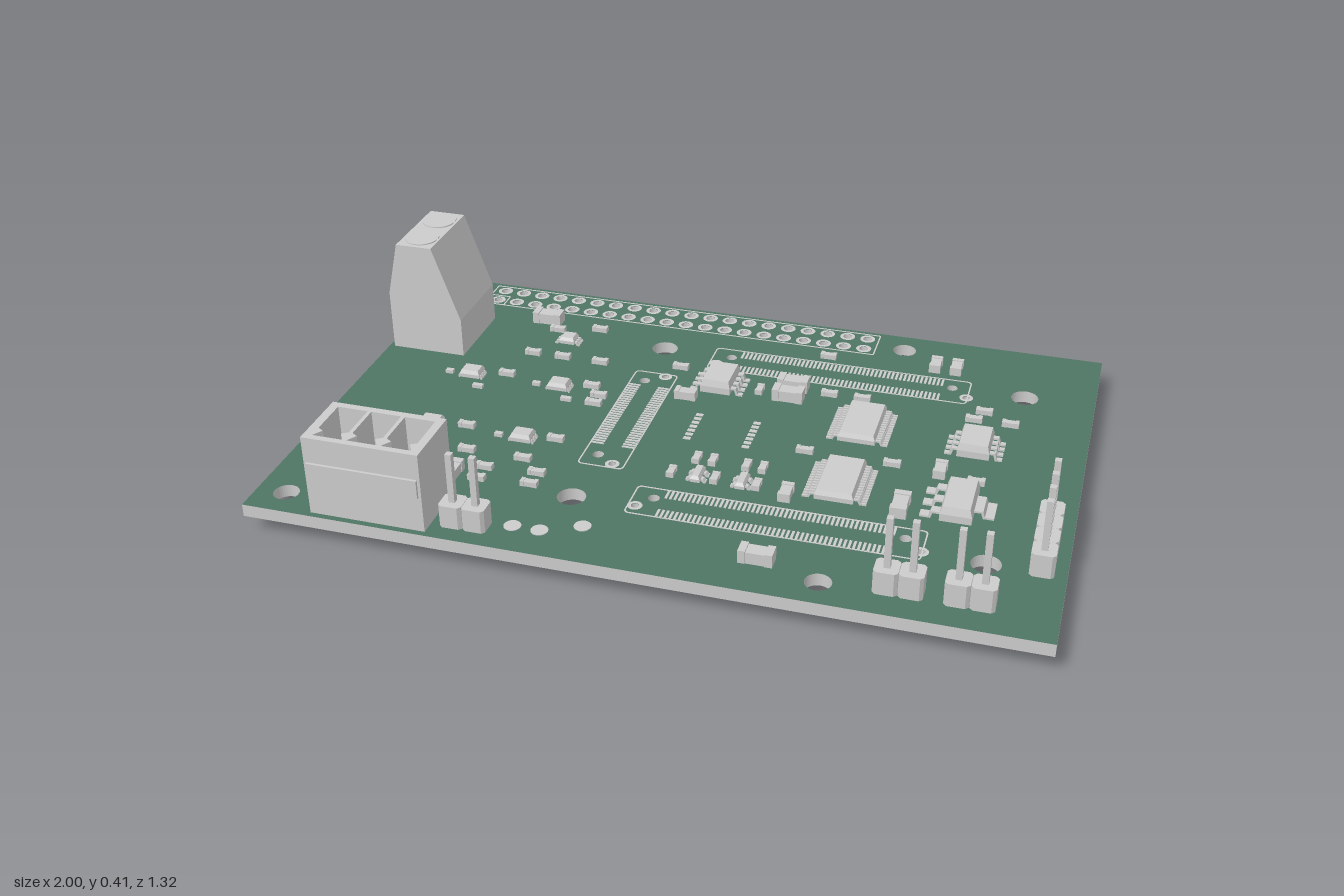
import * as THREE from 'three';
import { mergeGeometries } from 'three/addons/utils/BufferGeometryUtils.js';

const grey = new THREE.MeshStandardMaterial({ color: 0xcccccc });
const green = new THREE.MeshStandardMaterial({ color: 0x4f7563 });
const TOP = 0.082, BOTTOM = 0.048;
const PITCH = 0.0597;

const range = (n, f) => Array.from({ length: n }, (_, i) => f(i));
const box = (w, h, d, x = 0, y = 0, z = 0) => new THREE.BoxGeometry(w, h, d).translate(x, y, z);
function add(parent, name, geos, x = 0, y = 0, z = 0) {
  const list = [].concat(geos).map(g => (g.index ? g.toNonIndexed() : g));
  const m = new THREE.Mesh(mergeGeometries(list), grey);
  m.name = name;
  m.position.set(x, y, z);
  parent.add(m);
  return m;
}
function polygon(points) {
  return new THREE.Shape(points.map(p => new THREE.Vector2(...p)));
}
const extrude = (shape, depth, curveSegments = 20) =>
  new THREE.ExtrudeGeometry(shape, { depth, bevelEnabled: false, curveSegments });
// plan shape drawn in (x, z), raised from y0 by h
const plan = (shape, h, y0) => extrude(shape, h).rotateX(Math.PI / 2).translate(0, y0 + h, 0);

// box whose upper face is drawn in, as on a moulded chip
function taperBox(w, h, d, inset) {
  const g = new THREE.BoxGeometry(w, h, d, 1, 2, 1).toNonIndexed(), p = g.attributes.position;
  for (let i = 0; i < p.count; i++) if (p.getY(i) > h * 0.4) {
    p.setX(i, p.getX(i) - Math.sign(p.getX(i)) * inset);
    p.setZ(i, p.getZ(i) - Math.sign(p.getZ(i)) * inset);
  }
  g.computeVertexNormals();
  return g.translate(0, h / 2, 0);
}

// gull-wing lead pointing to +x, starting at x0
function lead(x0, reach, h, width) {
  const t = 0.005, k = x0 + reach * 0.45, e = x0 + reach;
  return extrude(polygon([[x0 - 0.004, h - t], [k - t, h - t], [k, 0], [e, 0], [e, t],
    [k + t, t], [k, h], [x0 - 0.004, h]]), width).translate(0, 0, -width / 2);
}

// chip with n leads on each long side, optionally on all four sides
function chip(parent, name, x, z, w, d, h, n, reach, four = false) {
  const g = new THREE.Group();
  g.name = name;
  g.position.set(x, 0, z);
  add(g, 'chipBody', taperBox(w, h - 0.005, d, 0.005), 0, 0.005, 0);
  const leads = [];
  const step = d * 0.93 / n;
  for (const turn of four ? [0, 1, 2, 3] : [0, 2]) for (let i = 0; i < n; i++) {
    const s = (turn % 2 ? w / d : 1) * step;
    leads.push(lead((turn % 2 ? d : w) / 2, reach, h * 0.5, s * 0.5)
      .translate(0, 0, (i - (n - 1) / 2) * s).rotateY(turn * Math.PI / 2));
  }
  if (n) add(g, 'chipLeads', leads);
  parent.add(g);
}

// two-terminal parts, lying along x or turned along z
function passives(parent, name, spots, l, w, h, turned = false) {
  for (const [x, z] of spots) {
    const m = add(parent, name, [box(l * 0.56, h * 0.9, w * 0.9, 0, h * 0.45, 0),
      ...[-1, 1].map(s => box(l * 0.22, h, w, s * l * 0.39, h / 2, 0))], x, 0, z);
    if (turned) m.rotation.y = Math.PI / 2;
  }
}

function pinHeader(parent, x, z, n, alongZ = false) {
  const g = new THREE.Group();
  g.name = 'pinHeader';
  const c = 0.008, a = PITCH / 2 - 0.0005;
  const block = polygon([[-a, -a + c], [-a + c, -a], [a - c, -a], [a, -a + c],
    [a, a - c], [a - c, a], [-a + c, a], [-a, a - c]]);
  for (let i = 0; i < n; i++) {
    const o = (i - (n - 1) / 2) * PITCH;
    add(g, 'headerBlock', plan(block, 0.062, 0), o, 0, 0);
    add(g, 'headerPin', box(0.016, 0.268, 0.016, 0, 0.064, 0), o, 0, 0);
  }
  g.position.set(x, 0, z);
  if (alongZ) g.rotation.y = Math.PI / 2;
  parent.add(g);
}

function rectPath(P, w, d, r) {
  const s = new P(), x = w / 2, z = d / 2;
  s.moveTo(-x + r, -z).lineTo(x - r, -z).quadraticCurveTo(x, -z, x, -z + r).lineTo(x, z - r)
    .quadraticCurveTo(x, z, x - r, z).lineTo(-x + r, z).quadraticCurveTo(-x, z, -x, z - r)
    .lineTo(-x, -z + r).quadraticCurveTo(-x, -z, -x + r, -z);
  return s;
}
function outline(parent, x, z, w, d, r = 0.015) {
  const s = rectPath(THREE.Shape, w, d, r);
  s.holes.push(rectPath(THREE.Path, w - 0.008, d - 0.008, r - 0.003));
  add(parent, 'printedOutline', plan(s, 0.001, 0), x, 0, z);
}

export function createModel() {
  const model = new THREE.Group();
  model.name = 'circuitBoard';
  const top = new THREE.Group(), under = new THREE.Group();
  top.name = 'topParts';
  top.position.y = TOP;
  under.name = 'undersideParts';
  under.position.y = BOTTOM;
  under.scale.z = 1;
  model.add(top, under);

  // board with all drilled holes: [x, z, radius]
  const headerHoles = range(40, i => [-0.805 + (i % 20) * PITCH, i < 20 ? -0.615 : -0.555, 0.013]);
  const guideHoles = [[-0.025, -0.4], [0.61, -0.4], [-0.225, -0.205], [-0.225, 0.195], [-0.025, 0.35], [0.61, 0.35]];
  const smallHoles = [[-0.06, -0.355], [0.655, -0.355], [-0.175, -0.24], [-0.175, 0.23], [-0.06, 0.395], [0.655, 0.395]];
  const holes = [...headerHoles, ...guideHoles.map(p => [...p, 0.015]), ...smallHoles.map(p => [...p, 0.01])];
  for (const z of [-1, 1]) {
    for (const x of [-0.92, 0.445]) holes.push([x, z * 0.578, 0.033]);
    for (const x of [-0.225, 0.81]) holes.push([x, z * 0.4, 0.037]);
  }
  const boardShape = polygon([[-1, -0.658], [1, -0.658], [1, 0.658], [-1, 0.658]]);
  for (const [x, z, r] of holes) boardShape.holes.push(new THREE.Path().absarc(x, z, r, 0, Math.PI * 2, true));
  const board = new THREE.Mesh(plan(boardShape, TOP - BOTTOM, BOTTOM), [green, grey]);
  board.name = 'board';
  model.add(board);

  // plated rings on both faces
  const ring = (x, z, r, up) => new THREE.RingGeometry(r, r + 0.009, 20)
    .rotateX(up ? -Math.PI / 2 : Math.PI / 2).translate(x, up ? 0.001 : -0.001, z);
  const ringed = [...headerHoles, ...smallHoles.map(p => [...p, 0.01])];
  add(top, 'platedRings', ringed.map(([x, z, r]) => ring(x, z, r, true)));
  add(under, 'platedRingsUnder', ringed.map(([x, z, r]) => ring(x, z, r, false)));

  // flat contact rows and printed outlines
  const rows = [];
  for (const z of [-0.42, -0.34, 0.327, 0.413])
    for (let i = 0; i < 50; i++) rows.push(box(0.0065, 0.002, 0.035, 0.004 + i * 0.01175, 0.001, z));
  for (const x of [-0.245, -0.16])
    for (let i = 0; i < 28; i++) rows.push(box(0.035, 0.002, 0.0065, x, 0.001, -0.175 + i * 0.01175));
  for (const x of [-0.025, 0.135])
    for (let i = 0; i < 7; i++) rows.push(box(0.02, 0.002, 0.012, x, 0.001, -0.067 + i * 0.0205));
  add(top, 'contactPads', rows);
  add(top, 'testPads', [[-0.32, 0.56], [-0.25, 0.56], [-0.155, 0.515]].map(([x, z]) =>
    new THREE.CylinderGeometry(0.022, 0.022, 0.002, 24).translate(x, 0.001, z)));
  outline(top, 0.29, -0.383, 0.74, 0.125);
  outline(top, 0.29, 0.368, 0.74, 0.125);
  outline(top, -0.203, -0.003, 0.125, 0.505);
  outline(top, -0.238, -0.585, 1.205, 0.12, 0.005);
  outline(top, -0.805, -0.555, PITCH, PITCH, 0.005);

  // chips
  for (const z of [-0.125, 0.16]) chip(top, 'largeChip', 0.41, z, 0.1, 0.18, 0.03, 14, 0.032);
  chip(top, 'eightPinChip', -0.015, -0.24, 0.084, 0.116, 0.043, 4, 0.033);
  chip(top, 'eightPinChip', 0.715, -0.1, 0.084, 0.112, 0.043, 4, 0.033);
  chip(top, 'controllerChip', -0.675, 0.37, 0.106, 0.112, 0.03, 8, 0.014, true);
  chip(top, 'smallChip', -0.505, -0.36, 0.045, 0.045, 0.024, 3, 0.015);
  for (const x of [-0.7, -0.44]) for (const z of [-0.1, 0.18]) {
    chip(top, 'sensorChip', x, z, 0.058, 0.046, 0.026, 3, 0.006);
    add(top, 'sensorResistor', box(0.022, 0.01, 0.014, x - 0.068, 0.005, z));
    if (z < 0) add(top, 'sensorCapacitor', box(0.03, 0.01, 0.014, x + 0.04, 0.005, z + 0.057));
  }
  for (const x of [0.055, 0.172]) chip(top, 'transistor', x, 0.23, 0.026, 0.062, 0.022, 2, 0.014);

  // voltage regulator with three leads and a tab
  add(top, 'regulatorBody', taperBox(0.08, 0.04, 0.15, 0.006), 0.715, 0.003, 0.182);
  add(top, 'regulatorLeads', [-0.052, 0, 0.052].map(z =>
    lead(0.04, 0.05, 0.02, 0.026).rotateY(Math.PI).translate(0.715, 0, 0.182 + z)));
  add(top, 'regulatorTab', lead(0.04, 0.05, 0.02, 0.07), 0.715, 0, 0.182);

  // resistors and capacitors, by size and direction
  passives(top, 'largeCapacitor', [[-0.607, -0.465], [0.185, -0.278], [0.185, -0.217], [0.287, 0.535]], 0.085, 0.042, 0.035);
  passives(top, 'largeCapacitor', [[0.575, 0.23], [-0.553, 0.395]], 0.085, 0.042, 0.03, true);
  passives(top, 'mediumCapacitor', [[-0.863, 0.262], [-0.89, 0.44], [-0.088, -0.148]], 0.06, 0.032, 0.026);
  passives(top, 'mediumCapacitor', [[0.548, -0.5], [0.607, -0.5], [0.29, 0.25], [0.645, 0.04]], 0.06, 0.032, 0.024, true);
  passives(top, 'smallResistor', [
    [-0.56, -0.417], [-0.44, -0.45], [-0.58, -0.265], [-0.49, -0.265], [-0.377, -0.265], [-0.147, -0.3],
    [0.243, -0.475], [-0.607, -0.13], [-0.355, -0.13], [-0.32, -0.086], [-0.32, -0.043], [0.29, -0.267],
    [0.382, -0.267], [0.29, 0.037], [0.52, 0.037], [0.714, -0.287], [0.692, -0.24], [0.79, -0.24],
    [0.74, 0.064], [-0.863, 0.325], [-0.863, 0.38], [-0.768, 0.272], [-0.677, 0.272], [-0.56, 0.272],
    [-0.404, 0.272], [-0.607, 0.16], [-0.355, 0.16], [-0.345, 0.327], [-0.345, 0.38], [-0.484, 0.337],
    [-0.484, 0.39], [-0.438, 0.51], [-0.768, 0.243]], 0.045, 0.02, 0.015);
  passives(top, 'smallResistor', [[0.1, -0.235], [0.03, 0.15], [0.073, 0.15], [0.163, 0.15], [0.206, 0.15],
    [-0.015, 0.23], [0.1, 0.23], [0.21, 0.23]], 0.04, 0.02, 0.015, true);

  // pin headers
  pinHeader(top, -0.432, 0.583, 2);
  pinHeader(top, 0.63, 0.557, 2);
  pinHeader(top, 0.795, 0.557, 2);
  pinHeader(top, 0.94, 0.3, 4, true);

  // screw terminal: full-profile dividers alternate with notched wire bays
  const terminal = new THREE.Group();
  terminal.name = 'screwTerminal';
  const upper = [[-0.77, TOP], [-0.77, 0.195], [-0.845, 0.41], [-0.95, 0.41], [-0.985, 0.255]];
  const full = polygon([...upper, [-0.985, TOP]]);
  const notched = polygon([...upper, [-0.985, 0.205], [-0.88, 0.205], [-0.88, 0.1], [-0.985, 0.1], [-0.985, TOP]]);
  const cuts = [-0.44, -0.42, -0.335, -0.305, -0.22, -0.2];
  add(terminal, 'terminalBody', range(5, i =>
    extrude(i % 2 ? notched : full, cuts[i + 1] - cuts[i]).translate(0, 0, cuts[i])));
  add(terminal, 'sideRib', box(0.03, 0.17, 0.016, -0.985, 0.167, -0.447));
  for (const z of [-0.383, -0.263]) {
    add(terminal, 'screwHead', [0, 1].map(k =>
      new THREE.CylinderGeometry(0.046, 0.046, 0.004, 20, 1, false, k * Math.PI - Math.PI / 2, Math.PI)
        .translate(0, 0, k ? -0.005 : 0.005)), -0.897, 0.411, z);
    add(terminal, 'terminalPin', box(0.024, 0.1, 0.036, -0.89, 0.05, z));
  }
  model.add(terminal);

  // plug socket with three keyed cavities
  const socket = new THREE.Group();
  socket.name = 'plugSocket';
  const shell = polygon([[-0.82, 0.468], [-0.515, 0.468], [-0.515, 0.642], [-0.82, 0.642]]);
  const slots = [-0.757, -0.667, -0.577];
  for (const x of slots) shell.holes.push(new THREE.Path([[-0.04, 0.487], [0.04, 0.487], [0.04, 0.59],
    [0.024, 0.6], [0.04, 0.625], [-0.04, 0.625], [-0.024, 0.6], [-0.04, 0.59]].map(([a, b]) => new THREE.Vector2(x + a, b))));
  add(socket, 'socketShell', plan(shell, 0.18, 0.12));
  add(socket, 'socketBase', box(0.305, 0.042, 0.174, -0.6675, 0.101, 0.555));
  add(socket, 'socketLatch', box(0.29, 0.05, 0.008, -0.6675, 0.205, 0.645));
  for (const x of slots) add(socket, 'socketPin', box(0.022, 0.23, 0.022, x, 0.125, 0.535));
  model.add(socket);

  // underside parts, built upright and turned over
  const flipped = new THREE.Group();
  flipped.name = 'turnedOver';
  flipped.rotation.x = Math.PI;
  under.add(flipped);
  for (const [x, z] of [[0.158, 0.165], [0.155, -0.12], [-0.605, -0.125]])
    chip(flipped, 'undersideChip', x, -z, 0.1, 0.118, 0.028, 8, 0.02);
  passives(flipped, 'undersideCapacitor', [[-0.086, 0.156], [-0.38, 0], [-0.465, -0.18], [-0.61, -0.45]], 0.06, 0.032, 0.022);
  passives(flipped, 'undersideResistor', [[-0.296, -0.076], [-0.13, 0.11], [-0.34, -0.05], [-0.43, -0.24],
    [0.29, -0.2], [0.02, 0.13], [-0.42, 0.07]], 0.045, 0.022, 0.015, true);
  return model;
}
